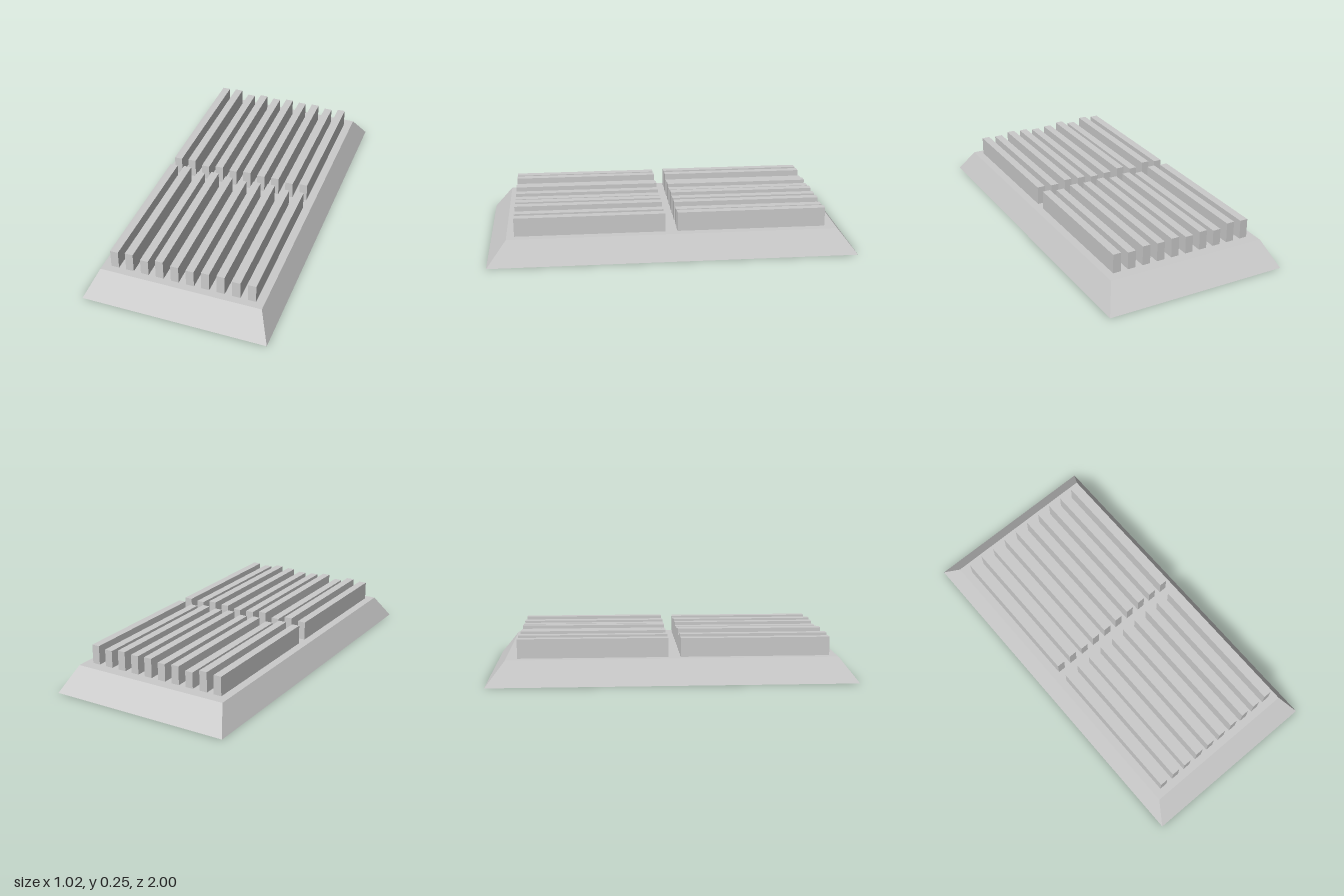
import * as THREE from 'three';

export function createModel() {
  const group = new THREE.Group();
  const material = new THREE.MeshStandardMaterial({ color: 0xcccccc, flatShading: true });

  // Sloped plinth: a box whose top corners are pulled inwards
  const baseHeight = 0.135;
  const baseGeometry = new THREE.BoxGeometry(1.02, baseHeight, 2);
  baseGeometry.translate(0, baseHeight / 2, 0);
  const pos = baseGeometry.attributes.position;
  for (let i = 0; i < pos.count; i++) {
    if (pos.getY(i) > 0.01) {
      pos.setX(i, Math.sign(pos.getX(i)) * 0.446);
      pos.setZ(i, Math.sign(pos.getZ(i)) * 0.893);
    }
  }
  baseGeometry.computeVertexNormals();
  const base = new THREE.Mesh(baseGeometry, material);
  base.name = 'base';
  group.add(base);

  // Two rows of ten long bars with slightly uneven tops, from -x to +x
  const rows = [
    { name: 'frontBars', z: 0.447, tops: [0.237, 0.245, 0.225, 0.245, 0.234, 0.23, 0.24, 0.245, 0.232, 0.237] },
    { name: 'backBars', z: -0.428, tops: [0.24, 0.245, 0.224, 0.238, 0.231, 0.242, 0.237, 0.242, 0.23, 0.24] },
  ];
  for (const { name, z, tops } of rows) {
    const row = new THREE.Group();
    row.name = name;
    tops.forEach((top, i) => {
      const height = top - baseHeight;
      const bar = new THREE.Mesh(new THREE.BoxGeometry(0.044, height, 0.809), material);
      bar.name = 'bar';
      bar.position.set((i - 4.5) * 0.0843, baseHeight + height / 2, z);
      row.add(bar);
    });
    group.add(row);
  }
  return group;
}
